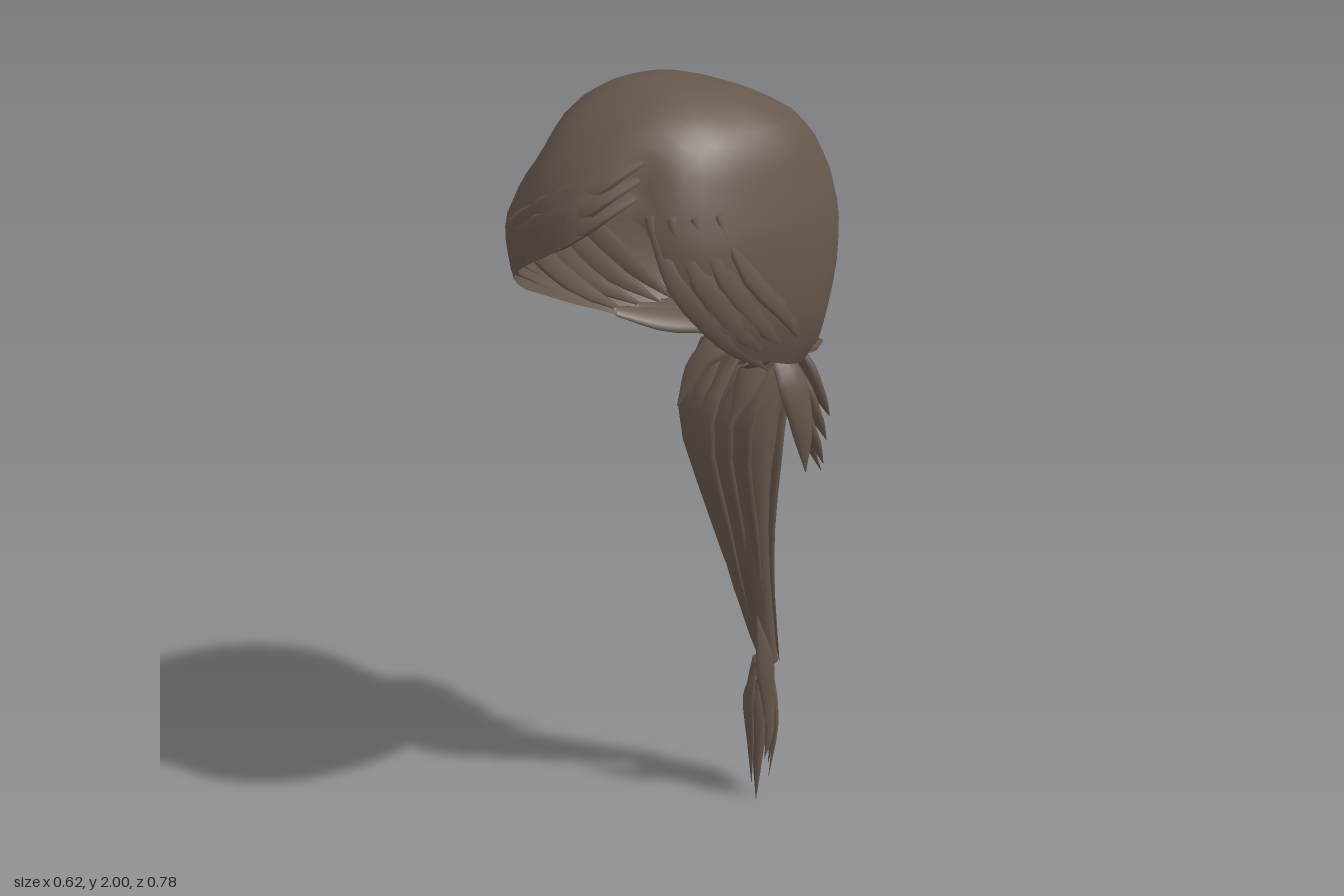
import * as THREE from 'three';

const hair = new THREE.MeshStandardMaterial({ color: 0x66574c, side: THREE.DoubleSide });
hair.name = 'brown hair';

// Linear lookup in rows of [key, value, value...]
function lookup(rows, k) {
  let i = 0;
  while (i < rows.length - 2 && k > rows[i + 1][0]) i++;
  const a = rows[i], b = rows[i + 1];
  const t = THREE.MathUtils.clamp((k - a[0]) / (b[0] - a[0]), 0, 1);
  return a.map((v, n) => v + (b[n] - v) * t);
}

// Skin a list of closed rings of points
function skin(rings, name) {
  const n = rings[0].length, pos = [], idx = [];
  rings.forEach(r => r.forEach(p => pos.push(p.x, p.y, p.z)));
  for (let j = 0; j < rings.length - 1; j++) {
    for (let i = 0; i < n; i++) {
      const a = j * n + i, b = j * n + (i + 1) % n;
      idx.push(a, a + n, b, b, a + n, b + n);
    }
  }
  const g = new THREE.BufferGeometry();
  g.setAttribute('position', new THREE.Float32BufferAttribute(pos, 3));
  g.setIndex(idx);
  g.computeVertexNormals();
  const m = new THREE.Mesh(g, hair);
  m.name = name;
  return m;
}

// Tapered lens-shaped lock along a curve; face is the direction its flat side looks
function lock(name, pts, width, thick, face, shape = [[0, 0.55], [0.35, 1], [0.7, 0.75], [1, 0.03]]) {
  const curve = new THREE.CatmullRomCurve3(pts.map(p => new THREE.Vector3(...p)));
  const rings = [];
  for (let j = 0; j <= 9; j++) {
    const t = j / 9, c = curve.getPoint(t), tan = curve.getTangent(t);
    const side = new THREE.Vector3().crossVectors(tan, new THREE.Vector3(...face)).normalize();
    const out = new THREE.Vector3().crossVectors(side, tan).normalize();
    const s = lookup(shape, t)[1], ring = [];
    for (let i = 0; i < 8; i++) {
      const a = i / 8 * Math.PI * 2;
      ring.push(c.clone().addScaledVector(side, Math.cos(a) * width * s)
        .addScaledVector(out, Math.sin(a) * thick * s));
    }
    rings.push(ring);
  }
  return skin(rings, name);
}

// Cap sections by depth below the crown: [2 - y, half width, front z, back z]
const SECTIONS = [
  [0, 0, 0.06, 0.06], [0.01, 0.075, 0.12, -0.03], [0.03, 0.13, 0.175, -0.1], [0.06, 0.185, 0.23, -0.18],
  [0.1, 0.23, 0.28, -0.25], [0.15, 0.255, 0.325, -0.3], [0.22, 0.275, 0.37, -0.34],
  [0.3, 0.295, 0.39, -0.36], [0.36, 0.3, 0.388, -0.367], [0.43, 0.302, 0.375, -0.36],
  [0.5, 0.298, 0.345, -0.345], [0.58, 0.275, 0.27, -0.332], [0.64, 0.248, 0.18, -0.32], [0.71, 0.18, 0.08, -0.28],
];
// Lower edge of the cap by azimuth in degrees (0 = front, + = left)
const RIM = [
  [-180, 1.3], [-140, 1.3], [-110, 1.315], [-85, 1.35], [-65, 1.42], [-45, 1.5], [-25, 1.58],
  [0, 1.66], [20, 1.73], [36, 1.78], [46, 1.74], [60, 1.57], [80, 1.42], [100, 1.35], [140, 1.31], [180, 1.3],
];
// Swelling of the swept fringe on the right front, by depth
const SWELL = [[0, 0], [0.06, -0.04], [0.16, -0.07], [0.24, 0], [0.32, 0.05], [0.45, 0.05], [0.6, 0]];
const bell = (deg, mid, spread) => Math.exp(-(((deg - mid) / spread) ** 2));

// Point on the cap surface, pushed out by lift
function onCap(deg, y, lift = 0) {
  const [, a, zf, zb] = lookup(SECTIONS, 2 - y);
  const p = deg * Math.PI / 180, s = Math.sin(p), c = Math.cos(p);
  const power = THREE.MathUtils.lerp(0.76, 0.92, THREE.MathUtils.smoothstep(c, -0.3, 0.3));
  const round = v => Math.sign(v) * Math.abs(v) ** power;
  const depth = THREE.MathUtils.smoothstep(2 - y, 0.04, 0.2);
  // The left front dips in at the parting
  const f = 1 + lookup(SWELL, 2 - y)[1] * bell(deg, -45, 24) - 0.1 * depth * bell(deg, 40, 16);
  return new THREE.Vector3((a + lift) * round(s) * f, y, (zf + zb) / 2 + ((zf - zb) / 2 + lift) * round(c) * f);
}

function cap() {
  const rings = [];
  for (let j = 0; j <= 20; j++) {
    const ring = [];
    for (let i = 0; i < 48; i++) {
      const deg = i / 48 * 360 - 180;
      const rim = lookup(RIM, deg)[1];
      ring.push(onCap(deg, 2 - (2 - rim) * (j / 20) ** 1.6));
    }
    rings.push(ring);
  }
  return skin(rings, 'hairCap');
}

// Lock lying on the cap, from [deg, y] waypoints
function capLock(name, path, width, lift) {
  const pts = path.map(([d, y]) => onCap(d, y, lift).toArray());
  const m = pts[Math.floor(pts.length / 2)];
  return lock(name, pts, width, 0.01, [m[0], 0, m[2]]);
}

export function createModel() {
  const model = new THREE.Group();
  model.name = 'ponytailHair';
  model.add(cap());

  // Fringe swept from the parting on the left across to the right
  const fringe = new THREE.Group();
  fringe.name = 'sweptFringe';
  for (let k = 0; k < 3; k++) {
    const d = k * 0.035;
    fringe.add(capLock('fringeLock', [[38, 1.81 + d], [18, 1.75 + d], [-8, 1.67 + d], [-35, 1.58 + d], [-62, 1.46 + d]],
      0.032, -0.007));
  }
  model.add(fringe);

  // Side locks in front of the ears
  const sides = new THREE.Group();
  sides.name = 'sideLocks';
  for (let k = 0; k < 4; k++) {
    sides.add(capLock('rightSideLock', [[-50 - k * 9, 1.7], [-62 - k * 9, 1.58], [-74 - k * 9, 1.46], [-88 - k * 9, 1.36]], 0.032, -0.006));
    sides.add(capLock('leftSideLock', [[48 + k * 9, 1.77], [58 + k * 9, 1.63], [72 + k * 9, 1.49], [88 + k * 9, 1.36]], 0.032, -0.006));
  }
  model.add(sides);

  // Hair gathered under the nape towards the ponytail
  const nape = new THREE.Group();
  nape.name = 'gatheredNape';
  for (const s of [-1, 1]) {
    for (let k = 0; k < 4; k++) {
      nape.add(lock('napeLock', [[s * 0.22, 1.385 - k * 0.008, 0 - k * 0.07], [s * 0.18, 1.355, -0.09 - k * 0.05],
        [s * 0.1, 1.335, -0.2 - k * 0.02], [0, 1.315, -0.25]], 0.045, 0.015, [s * 0.5, -1, 0],
      [[0, 0.4], [0.4, 1], [1, 0.6]]));
    }
  }
  // Bands of hair wrapped across the back of the nape
  for (let k = 0; k < 3; k++) {
    const y = 1.39 - k * 0.045, x = 0.19 - k * 0.03;
    nape.add(lock('napeWrap', [[-x, y - 0.01, -0.2], [-x * 0.6, y - 0.015, -0.31], [x * 0.2, y, -0.33], [x * 0.8, y + 0.015, -0.28], [x, y + 0.02, -0.18]],
      0.032, 0.012, [0, 0, -1], [[0, 0.3], [0.5, 1], [1, 0.2]]));
  }
  model.add(nape);

  // Short feathered locks fanning out below the nape
  const tuft = new THREE.Group();
  tuft.name = 'featheredTuft';
  for (let row = 0; row < 3; row++) {
    for (let i = -2; i <= 2; i++) {
      const x = i * 0.064, end = 1.17 - row * 0.06 + (i % 2 ? 0.03 : 0) - (i === 2 ? 0.04 : 0);
      const back = -0.37 + Math.abs(i) * 0.006 + row * 0.008;
      tuft.add(lock('tuftLock', [[x * 0.6, 1.36 - row * 0.05, -0.265], [x * 0.95, 1.27 - row * 0.05, -0.3 + row * 0.01],
        [x * 1.1, (end + 1.25 - row * 0.05) / 2, back + 0.03], [x * 1.15, end, back]], 0.042, 0.014, [x * 2, 0.3, -1]));
    }
  }
  // Longest wisp, side wisps and locks folding over the front
  tuft.add(lock('longWisp', [[0.05, 1.25, -0.28], [0.08, 1.1, -0.325], [0.1, 0.96, -0.385]], 0.025, 0.01, [0, 0.3, -1]));
  for (const s of [-1, 1]) {
    tuft.add(lock('sideWisp', [[s * 0.1, 1.33, -0.22], [s * 0.145, 1.25, -0.23], [s * 0.155, 1.13, -0.26], [s * 0.14, 1.0, -0.29]],
      0.045, 0.016, [s, 0, 0]));
    tuft.add(lock('frontWisp', [[s * 0.03, 1.32, -0.24], [s * 0.08, 1.27, -0.16], [s * 0.09, 1.16, -0.08]], 0.045, 0.014, [0, 1, 1]));
  }
  model.add(tuft);

  // Ponytail core, tapering straight to a point: [1.32 - y, half width, front z, back z]
  const TAIL = [[0, 0.12, -0.21, -0.28], [0.06, 0.135, -0.17, -0.28], [0.16, 0.13, -0.09, -0.265],
    [0.3, 0.115, -0.115, -0.25], [0.47, 0.092, -0.155, -0.26], [0.7, 0.06, -0.22, -0.295], [0.83, 0.035, -0.26, -0.325], [0.92, 0.02, -0.295, -0.345]];
  const rings = TAIL.map(([d, w, zf, zb]) => {
    const ring = [];
    for (let i = 0; i < 12; i++) {
      const a = i / 12 * Math.PI * 2;
      ring.push(new THREE.Vector3(w * Math.sin(a), 1.32 - d, (zf + zb) / 2 + (zf - zb) / 2 * Math.cos(a)));
    }
    return ring;
  });
  model.add(skin(rings, 'ponytail'));

  // Long strands laid over the ponytail front and back
  const strands = new THREE.Group();
  strands.name = 'ponytailStrands';
  for (let i = -2; i <= 2; i++) {
    const x = i * 0.046, inset = Math.abs(i) * 0.014;
    strands.add(lock('frontStrand', [[x * 1.2, 1.3, -0.19], [x * 1.1, 1.15, -0.09 - inset], [x * 0.75, 0.85, -0.155 - inset], [x * 0.25, 0.42 + 0.03 * Math.abs(i), -0.285]],
      0.03, 0.012, [0, 0, 1]));
    strands.add(lock('backStrand', [[x, 1.27, -0.27], [x * 1.05, 1.05, -0.25 + inset], [x * 0.65, 0.75, -0.275 + inset], [x * 0.2, 0.4, -0.338]],
      0.03, 0.012, [0, 0, -1]));
  }
  model.add(strands);

  // Loose tip below the narrow point
  const tip = new THREE.Group();
  tip.name = 'ponytailTip';
  tip.add(lock('tipSideLock', [[0.064, 0.6, -0.21], [0.05, 0.46, -0.25], [0.035, 0.3, -0.285], [0.018, 0.15, -0.295]],
    0.034, 0.012, [1, 0, 0], [[0, 0.05], [0.4, 1], [1, 0.05]]));
  for (let i = 0; i < 8; i++) {
    const a = i / 8 * Math.PI * 2, x = Math.sin(a), z = Math.cos(a);
    tip.add(lock('tipLock', [[x * 0.025 - 0.006, 0.41 - (i % 2) * 0.05, -0.3 + z * 0.028], [x * 0.035 - 0.006, 0.3, -0.295 + z * 0.038],
      [x * 0.03 - 0.002, 0.2, -0.3 + z * 0.042], [x * 0.016 + 0.004, 0.05 + (i % 3) * 0.035, -0.29 + z * 0.03]],
    0.018, 0.009, [x, 0, z]));
  }
  tip.add(lock('tipPoint', [[0, 0.42, -0.32], [-0.005, 0.25, -0.295], [0.012, 0, -0.27]], 0.026, 0.02, [0, 0, 1]));
  model.add(tip);

  return model;
}
